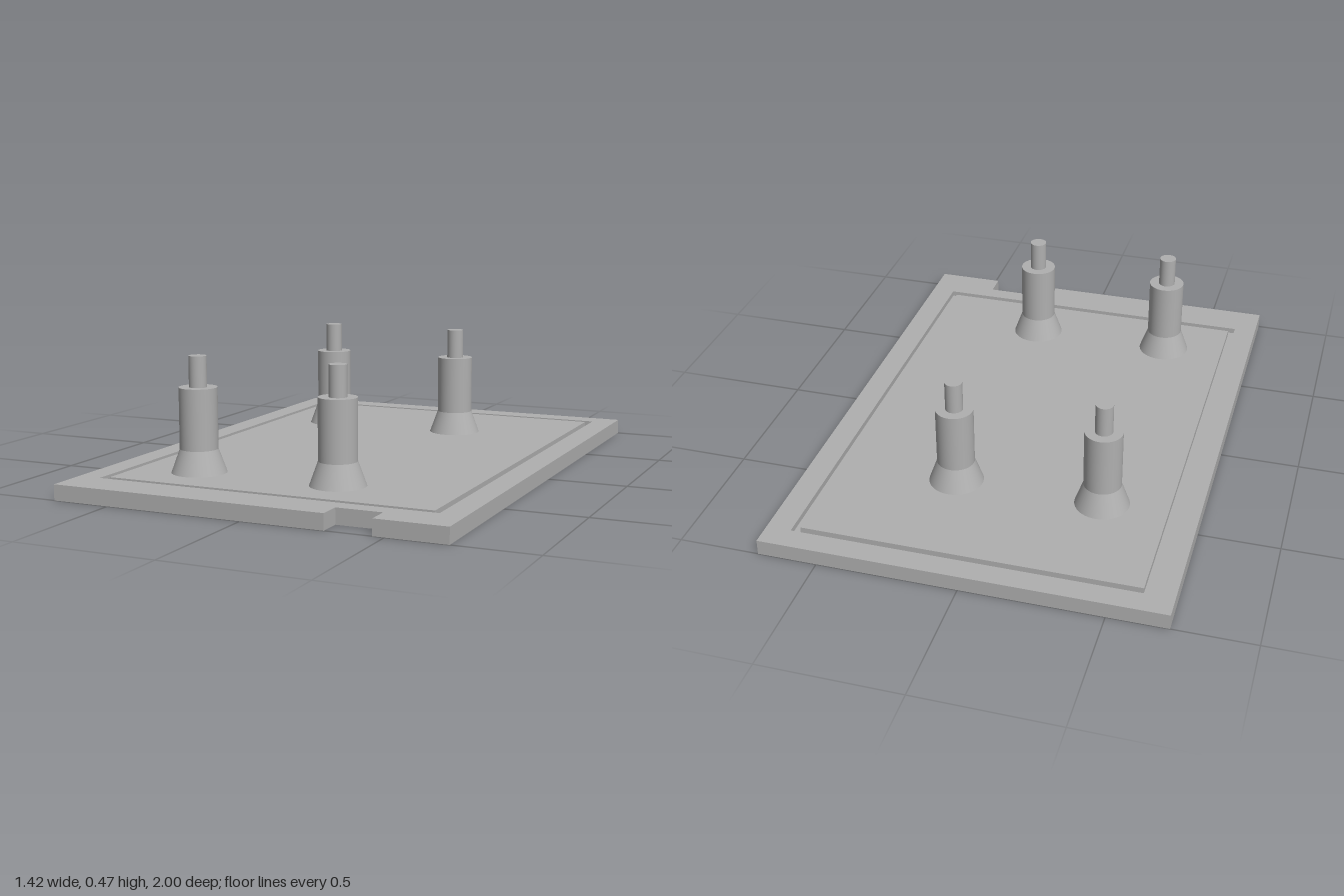
import * as THREE from 'three';

const grey = new THREE.MeshStandardMaterial({ color: 0xb0b0b0 });
grey.name = 'plain grey';

const FLOOR = 0.035; // height of the groove floor
const TOP = 0.056; // height of the plate's upper face

// Points are [x, z] on the ground plane
const toVectors = (points) => points.map(([x, z]) => new THREE.Vector2(x, -z));
const rectangle = (x0, x1, z0, z1) => [[x0, z1], [x1, z1], [x1, z0], [x0, z0]];

// Flat slab between two heights, with an optional opening
function slab(name, outline, bottom, top, opening) {
  const shape = new THREE.Shape(toVectors(outline));
  if (opening) shape.holes.push(new THREE.Path(toVectors(opening)));
  const geometry = new THREE.ExtrudeGeometry(shape, { depth: top - bottom, bevelEnabled: false });
  geometry.rotateX(-Math.PI / 2).translate(0, bottom, 0);
  const mesh = new THREE.Mesh(geometry, grey);
  mesh.name = name;
  return mesh;
}

// Cylinder or cone standing on a given height
function round(name, topRadius, bottomRadius, bottom, top, openEnded = false) {
  const geometry = new THREE.CylinderGeometry(topRadius, bottomRadius, top - bottom, 48, 1, openEnded);
  geometry.translate(0, (bottom + top) / 2, 0);
  const mesh = new THREE.Mesh(geometry, grey);
  mesh.name = name;
  return mesh;
}

// Standoff: flared foot, thick shaft and locating pin
function createStandoff() {
  const standoff = new THREE.Group();
  standoff.name = 'standoff';
  standoff.add(
    round('flaredFoot', 0.0675, 0.098, TOP, 0.14, true),
    round('shaft', 0.0675, 0.0675, 0.14, 0.357),
    round('locatingPin', 0.0315, 0.0315, 0.357, 0.467),
  );
  return standoff;
}

export function createModel() {
  const model = new THREE.Group();
  model.name = 'mountingPlate';

  // Plate outline with the notch in its front edge
  const outline = [
    [-0.712, 1], [0.296, 1], [0.296, 0.916], [0.46, 0.916], [0.46, 1],
    [0.712, 1], [0.712, -1], [-0.712, -1],
  ];

  // A rim and a raised panel leave a narrow groove between them
  model.add(
    slab('basePlate', outline, 0, FLOOR),
    slab('rim', outline, FLOOR, TOP, rectangle(-0.628, 0.623, -0.917, 0.853)),
    slab('innerPanel', rectangle(-0.603, 0.598, -0.893, 0.828), FLOOR, TOP),
  );

  // Four standoffs, set towards the right
  for (const x of [-0.366, 0.17]) {
    for (const z of [-0.48, 0.626]) {
      const standoff = createStandoff();
      standoff.position.set(x, 0, z);
      model.add(standoff);
    }
  }
  return model;
}
